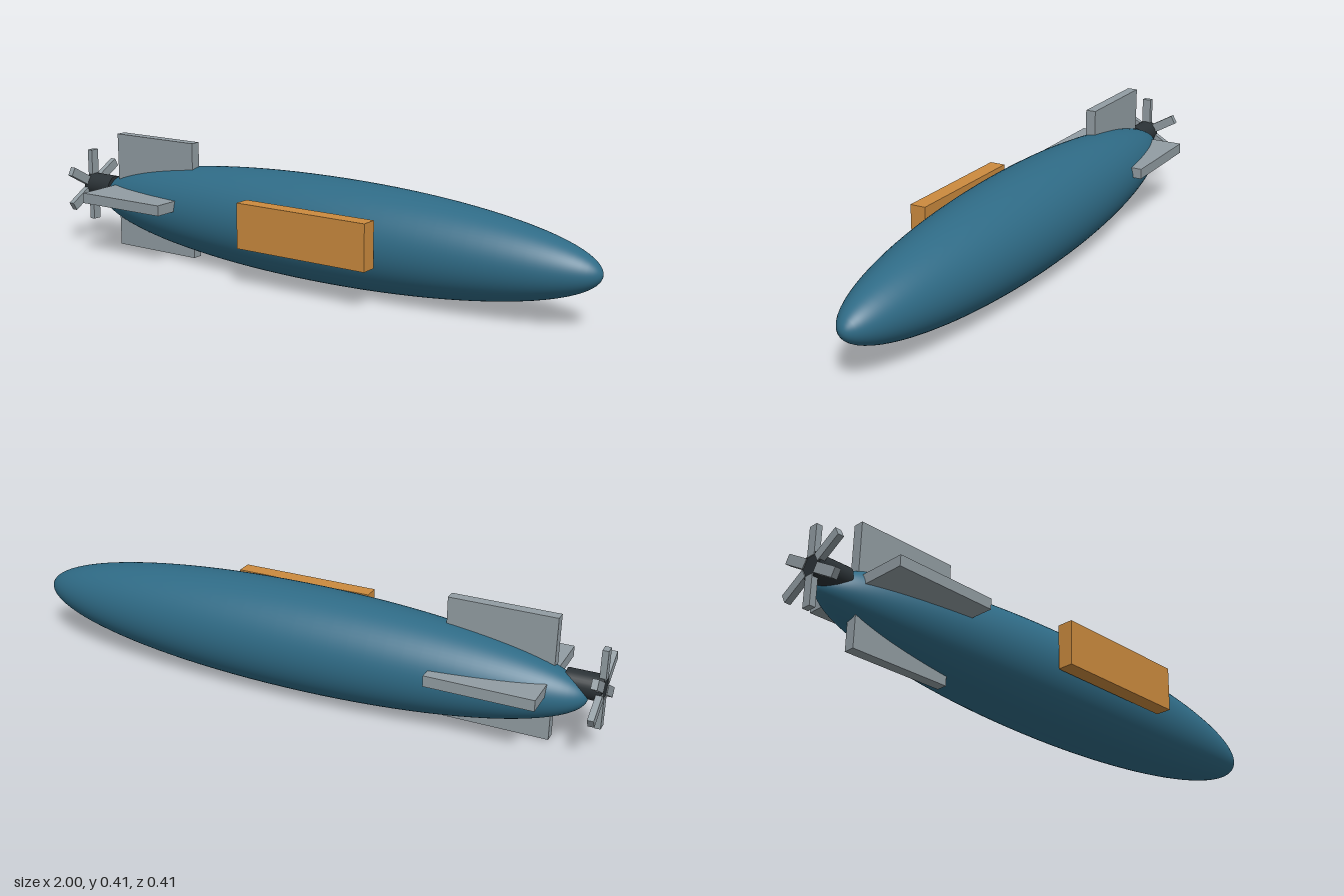
import * as THREE from 'three';

export function createModel() {
  const model = new THREE.Group();
  model.name = 'underwaterVehicle';

  const makeMaterial = (name, color) => {
    const m = new THREE.MeshStandardMaterial({ color });
    m.name = name;
    return m;
  };
  const hullBlue = makeMaterial('hullBlue', 0x2f6b86);
  const finGrey = makeMaterial('finGrey', 0x929da3);
  const panelOrange = makeMaterial('panelOrange', 0xcc8b3e);
  const shaftDark = makeMaterial('shaftDark', 0x2b3236);

  const add = (name, geometry, material, x, y, z, parent = model) => {
    const mesh = new THREE.Mesh(geometry, material);
    mesh.name = name;
    mesh.position.set(x, y, z);
    parent.add(mesh);
    return mesh;
  };

  // Long ellipsoid hull with its poles along x
  const hull = new THREE.SphereGeometry(1, 64, 48);
  hull.rotateZ(-Math.PI / 2);
  hull.scale(0.975, 0.176, 0.176);
  add('hull', hull, hullBlue, 0.02, 0.177, -0.027);

  // Side panel
  add('sidePanel', new THREE.BoxGeometry(0.486, 0.152, 0.054), panelOrange, 0.088, 0.209, 0.18);

  // Crossed tail fins, running through the hull
  const axisY = 0.208, axisZ = -0.002;
  add('verticalFins', new THREE.BoxGeometry(0.348, 0.41, 0.036), finGrey, -0.671, axisY, axisZ);
  add('horizontalFins', new THREE.BoxGeometry(0.348, 0.036, 0.406), finGrey, -0.671, axisY + 0.002, axisZ);

  // Propeller shaft
  const shaft = new THREE.CylinderGeometry(0.042, 0.042, 0.118, 32);
  shaft.rotateZ(Math.PI / 2);
  add('propellerShaft', shaft, shaftDark, -0.938, axisY, axisZ);

  // Six radial blades
  const propeller = new THREE.Group();
  propeller.name = 'propeller';
  propeller.position.set(-0.99, axisY, axisZ);
  model.add(propeller);
  const blade = new THREE.BoxGeometry(0.02, 0.1, 0.032);
  blade.translate(0, 0.08, 0);
  for (let i = 0; i < 6; i++) {
    add('propellerBlade', blade, finGrey, 0, 0, 0, propeller).rotation.x = (i * Math.PI) / 3;
  }

  return model;
}
